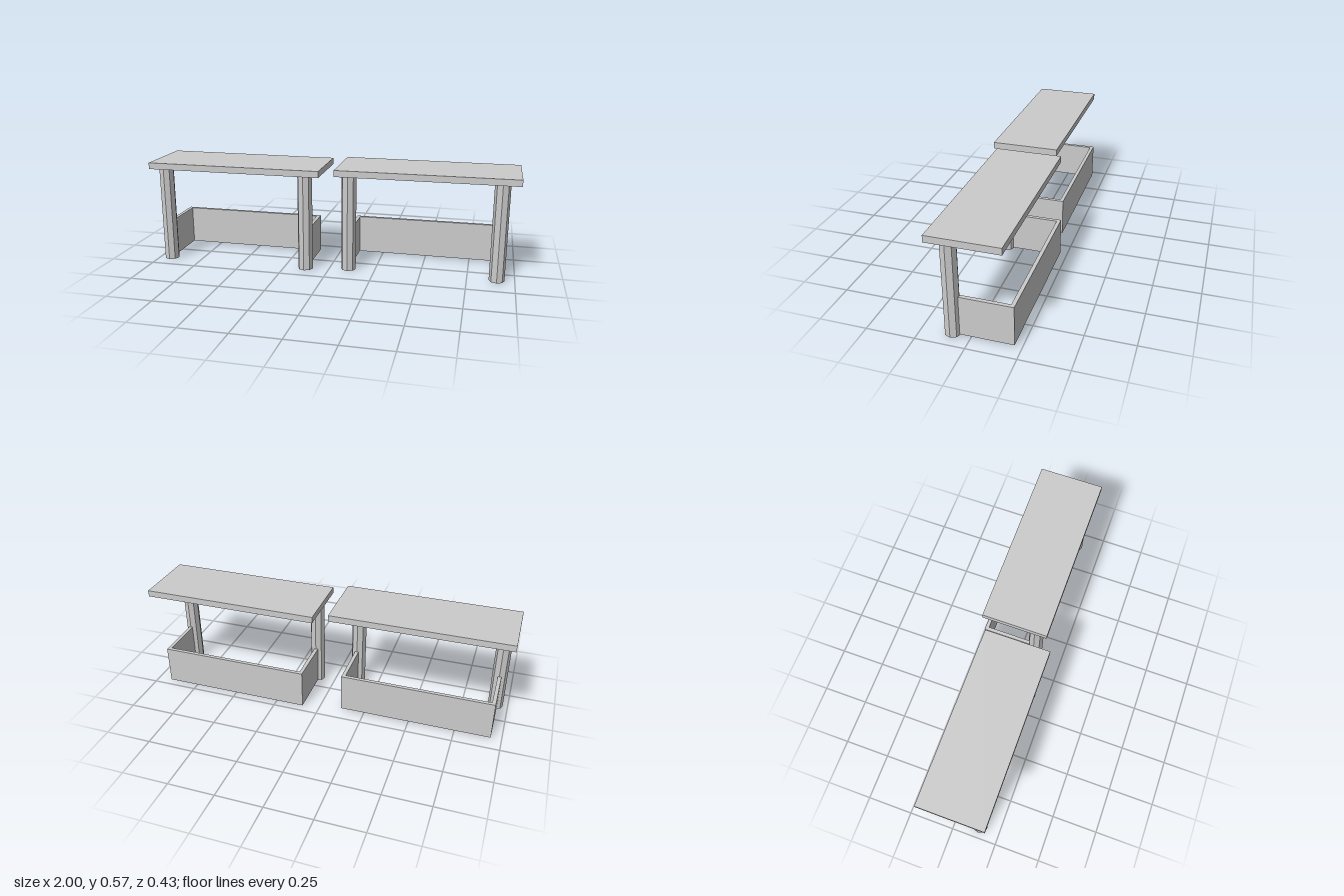
import * as THREE from 'three';

const material = new THREE.MeshStandardMaterial({ color: 0xcccccc, flatShading: true });

function add(parent, name, geometry, x, y, z) {
  const mesh = new THREE.Mesh(geometry, material);
  mesh.name = name;
  mesh.position.set(x, y, z);
  parent.add(mesh);
}

// One shelter: flat roof on two octagonal posts with a low U-shaped wall behind
function createShelter(name) {
  const g = new THREE.Group();
  g.name = name;

  add(g, 'roofSlab', new THREE.BoxGeometry(0.963, 0.035, 0.359), 0.0125, 0.5525, 0);

  for (const side of [-1, 1]) {
    add(g, side < 0 ? 'rightPost' : 'leftPost',
      new THREE.CylinderGeometry(0.041, 0.041, 0.535, 8), side * 0.401, 0.2675, 0.105);
  }

  // U-shaped wall, open to the front: outline in x/z, extruded upward
  const w = 0.4125, t = 0.02, front = 0.067, back = -0.202;
  const outline = [
    [-w, front], [-w, back], [w, back], [w, front],
    [w - t, front], [w - t, back + t], [-w + t, back + t], [-w + t, front],
  ];
  const shape = new THREE.Shape(outline.map(([x, z]) => new THREE.Vector2(x, -z)));
  const wall = new THREE.ExtrudeGeometry(shape, { depth: 0.211, bevelEnabled: false });
  wall.rotateX(-Math.PI / 2);
  add(g, 'lowWall', wall, 0, 0.006, 0);
  return g;
}

export function createModel() {
  const model = new THREE.Group();
  model.name = 'twinShelters';

  // The two shelters stand side by side, slightly staggered in depth
  const right = createShelter('rightShelter');
  right.position.set(-0.531, 0, 0.033);
  const left = createShelter('leftShelter');
  left.position.set(0.505, 0, -0.011);
  model.add(right, left);
  return model;
}
